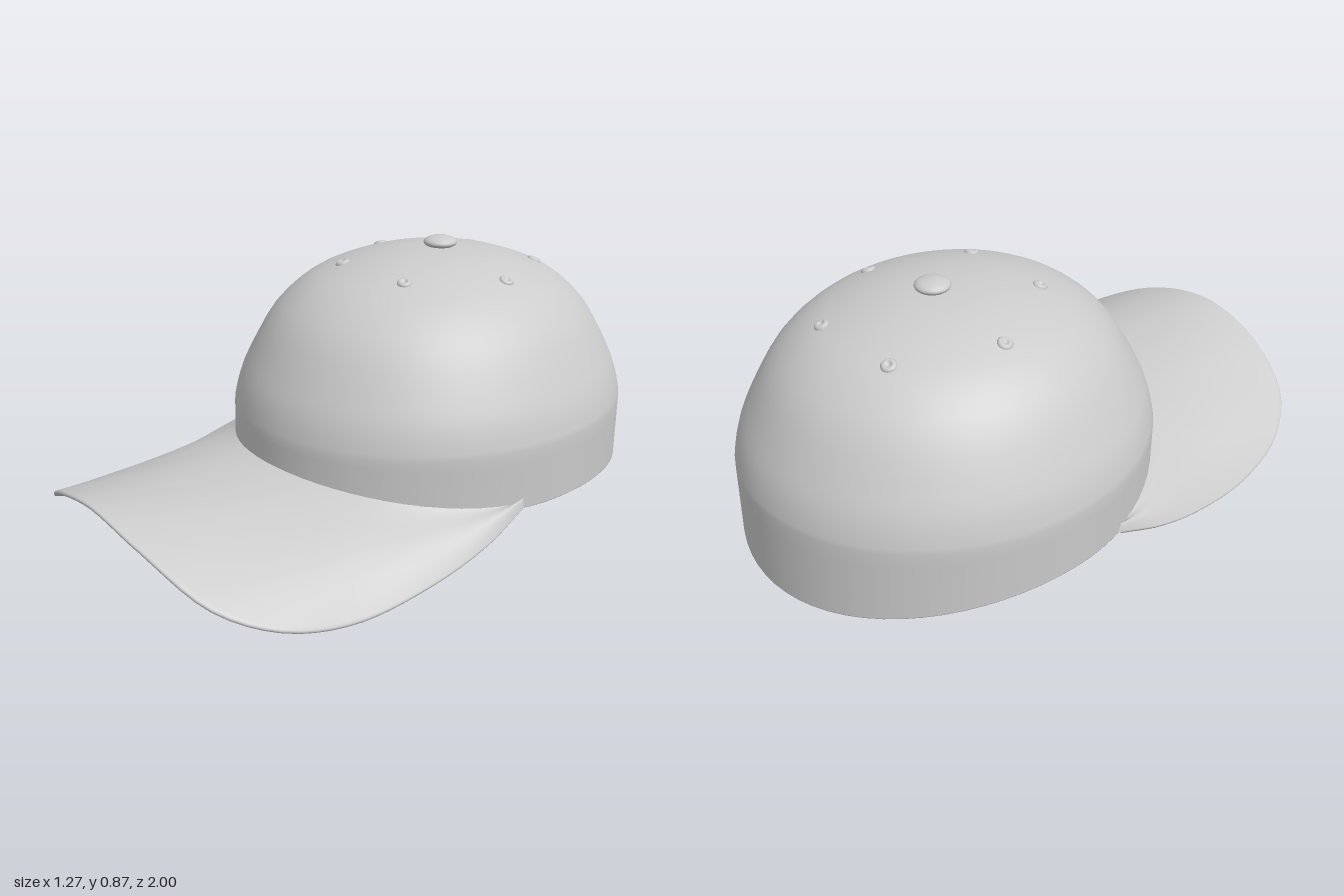
import * as THREE from 'three';
import { mergeVertices } from 'three/addons/utils/BufferGeometryUtils.js';

const RX = 0.63, RZ = 0.695, CZ = -0.305; // crown ellipse
const material = new THREE.MeshStandardMaterial({ color: 0xcccccc, side: THREE.DoubleSide });

// Smooth surface through a grid of points given by point(i, j)
function gridGeometry(cols, rows, point) {
  const positions = [], index = [];
  for (let j = 0; j <= rows; j++) {
    for (let i = 0; i <= cols; i++) positions.push(...point(i, j));
  }
  for (let j = 0; j < rows; j++) {
    for (let i = 0; i < cols; i++) {
      const a = j * (cols + 1) + i, c = a + cols + 1;
      index.push(a, c, a + 1, a + 1, c, c + 1);
    }
  }
  let geometry = new THREE.BufferGeometry();
  geometry.setAttribute('position', new THREE.Float32BufferAttribute(positions, 3));
  geometry.setIndex(index);
  geometry = mergeVertices(geometry, 1e-5);
  geometry.computeVertexNormals();
  return geometry;
}

function addMesh(parent, name, geometry) {
  const mesh = new THREE.Mesh(geometry, material);
  mesh.name = name;
  parent.add(mesh);
  return mesh;
}

// Lower edge of the crown: raised at the front, dropped at the back
function rimHeight(angle) {
  const c = Math.cos(angle);
  return 0.14 + c * Math.abs(c) * (c > 0 ? 0.085 : 0.06);
}

// Dome profile: fraction of the full radius against height
const dome = new THREE.SplineCurve([
  [0, 0.832], [0.16, 0.828], [0.32, 0.811], [0.476, 0.78], [0.635, 0.73],
  [0.79, 0.635], [0.915, 0.49], [0.965, 0.41], [0.99, 0.34],
].map(p => new THREE.Vector2(...p))).getPoints(24);

// Crown: outer shell, lip and inner shell in one closed skin
function crownGeometry() {
  const outer = dome.map(p => ({ f: p.x, y: p.y, t: 0, s: 1 }));
  for (const t of [0.2, 0.4, 0.6, 0.8, 0.95, 0.99, 1]) outer.push({ f: 0.99 + 0.01 * t, y: 0.34, t, s: 1 });
  const rings = [...outer, ...outer.map(r => ({ ...r, s: 0.982 })).reverse()];
  const cols = 72;
  return gridGeometry(cols, rings.length - 1, (i, j) => {
    const { f, y, t, s } = rings[j];
    const angle = (i / cols) * Math.PI * 2;
    const rim = rimHeight(angle);
    const height = THREE.MathUtils.lerp(y, rim, t);
    return [
      RX * f * s * (1 - 0.022 * t) * Math.sin(angle),
      rim + (height - rim) * s,
      CZ + RZ * f * s * Math.cos(angle),
    ];
  });
}

// Brim: thin curved sheet swept from the crown's front rim to its outer edge
function brimGeometry() {
  const half = [
    [0.24, 0.238, 0.98], [0.46, 0.122, 0.895], [0.565, 0.045, 0.74], [0.61, 0.004, 0.52],
    [0.632, 0.032, 0.25], [0.636, 0.092, 0.02], [0.612, 0.15, -0.15],
  ];
  const points = [...half.map(([x, y, z]) => [-x, y, z]).reverse(), [0, 0.288, 1], ...half];
  const edge = new THREE.CatmullRomCurve3(points.map(p => new THREE.Vector3(...p)));
  const cols = 64, spread = 1.35;
  const rim = edge.getSpacedPoints(cols);

  const steps = [0, 0.04, 0.08, 0.14, 0.22, 0.32, 0.44, 0.56, 0.68, 0.8, 0.9, 0.97, 0.99];
  const rows = [
    ...steps.map(v => ({ v, d: 0 })),
    { v: 0.998, d: 0.003 }, { v: 1, d: 0.007 }, { v: 0.998, d: 0.011 },
    ...steps.map(v => ({ v, d: 0.014 })).reverse(),
  ];
  return gridGeometry(cols, rows.length - 1, (i, j) => {
    const { v, d } = rows[j];
    const angle = (i / cols * 2 - 1) * spread;
    const inner = new THREE.Vector3(
      0.972 * RX * Math.sin(angle), rimHeight(angle) + 0.008, CZ + 0.99 * RZ * Math.cos(angle));
    const p = inner.lerp(rim[i], v);
    // slight arch at the sides, soft fillet against the crown
    p.y += Math.sin(Math.PI * v) * (0.06 * Math.abs(p.x) - 0.008);
    if (d === 0) p.y += 0.015 * (1 - v) ** 10;
    const down = new THREE.Vector3(p.x * 1.3, 1, 0).normalize();
    return p.addScaledVector(down, -d).toArray();
  });
}

// Height of the dome above a point
function domeHeight(x, z) {
  const f = Math.hypot(x / RX, (z - CZ) / RZ);
  const k = Math.max(1, dome.findIndex(p => p.x >= f));
  const a = dome[k - 1], b = dome[k];
  return THREE.MathUtils.lerp(a.y, b.y, (f - a.x) / (b.x - a.x));
}

function domeNormal(x, z) {
  const e = 0.03;
  return new THREE.Vector3(
    domeHeight(x - e, z) - domeHeight(x + e, z), 2 * e,
    domeHeight(x, z - e) - domeHeight(x, z + e)).normalize();
}

export function createModel() {
  const cap = new THREE.Group();
  cap.name = 'cap';
  addMesh(cap, 'crown', crownGeometry());
  addMesh(cap, 'brim', brimGeometry());

  // Top button
  const button = addMesh(cap, 'topButton', new THREE.SphereGeometry(0.056, 32, 16));
  button.scale.y = 0.38;
  button.position.set(0, 0.843, -0.347);

  // Six ventilation eyelets with a small sunken centre
  const eyelets = new THREE.Group();
  eyelets.name = 'eyelets';
  cap.add(eyelets);
  const eyeletGeometry = new THREE.LatheGeometry([
    [0.024, -0.006], [0.024, 0.002], [0.02, 0.007], [0.014, 0.009], [0.009, 0.007], [0.006, 0.002], [0, 0.001],
  ].map(p => new THREE.Vector2(...p)), 20);
  for (let i = 0; i < 6; i++) {
    const angle = i * Math.PI / 3;
    const x = 0.31 * Math.cos(angle), z = -0.348 + 0.343 * Math.sin(angle);
    const eyelet = addMesh(eyelets, 'eyelet', eyeletGeometry);
    eyelet.position.set(x, domeHeight(x, z), z);
    eyelet.quaternion.setFromUnitVectors(new THREE.Vector3(0, 1, 0), domeNormal(x, z));
  }
  return cap;
}
